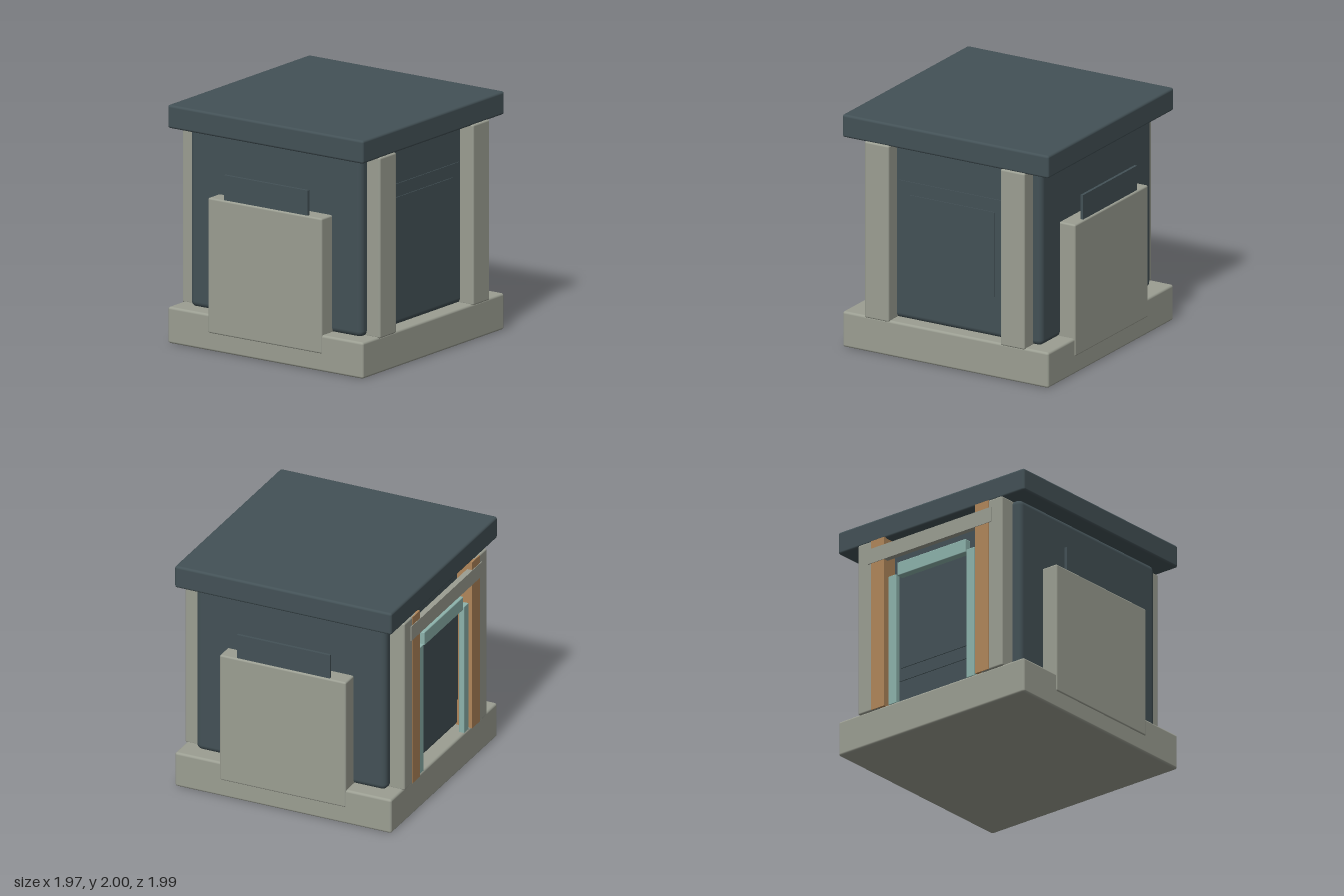
import * as THREE from 'three';
import { RoundedBoxGeometry } from 'three/addons/geometries/RoundedBoxGeometry.js';

function material(name, color) {
  const m = new THREE.MeshStandardMaterial({ color });
  m.name = name;
  return m;
}

export function createModel() {
  const slate = material('slate', 0x435156);
  const stone = material('stone', 0x9b9e92);
  const wood = material('wood', 0xb0865a);
  const teal = material('teal', 0x8db3ac);
  const model = new THREE.Group();
  model.name = 'kiosk';

  // Box given by its min and max on each axis; r rounds the edges
  function box(name, mat, [x0, x1], [y0, y1], [z0, z1], r = 0) {
    const w = x1 - x0, h = y1 - y0, d = z1 - z0;
    const geo = r ? new RoundedBoxGeometry(w, h, d, 3, r) : new THREE.BoxGeometry(w, h, d);
    const mesh = new THREE.Mesh(geo, mat);
    mesh.name = name;
    mesh.position.set((x0 + x1) / 2, (y0 + y1) / 2, (z0 + z1) / 2);
    model.add(mesh);
  }
  // Range mirrored to the other side when s is -1
  const side = (s, a, b) => (s > 0 ? [a, b] : [-b, -a]);

  // Main masses
  box('base', stone, [-0.978, 0.978], [0, 0.305], [-0.978, 0.978], 0.02);
  box('body', slate, [-0.84, 0.84], [0.295, 1.815], [-0.86, 0.86], 0.05);
  box('roof', slate, [-0.98, 0.98], [1.805, 2], [-0.98, 0.98], 0.02);

  for (const s of [1, -1]) {
    // Corner pillars, front and back
    for (const f of [1, -1]) {
      box('pillar', stone, side(s, 0.53, 0.76), [0.295, 1.812], side(f, 0.8, 0.992), 0.015);
    }

    // Raised panels on the front and back walls
    box('wallPanel', slate, [-0.505, 0.505], [0.54, 1.49], side(s, 0.84, 0.868));
    box('innerPanel', slate, [-0.405, 0.405], [0.65, 1.38], side(s, 0.84, 0.876));

    // Side slabs with an upright plate
    box('sideSlab', stone, side(s, 0.82, 0.985), [0.15, 1.285], [-0.57, 0.57], 0.015);
    box('sidePlate', slate, side(s, 0.946, 0.97), [1.1, 1.495], [-0.42, 0.42]);

    // Back doorway posts
    box('woodPost', wood, side(s, 0.48, 0.62), [0.3, 1.81], [-0.995, -0.85]);
    box('doorPost', teal, side(s, 0.37, 0.453), [0.3, 1.45], [-0.976, -0.93], 0.005);
  }

  // Back doorway crosspieces
  box('lintel', stone, [-0.65, 0.65], [1.61, 1.74], [-1, -0.95]);
  box('doorHead', teal, [-0.36, 0.36], [1.43, 1.55], [-0.976, -0.91], 0.008);

  return model;
}
